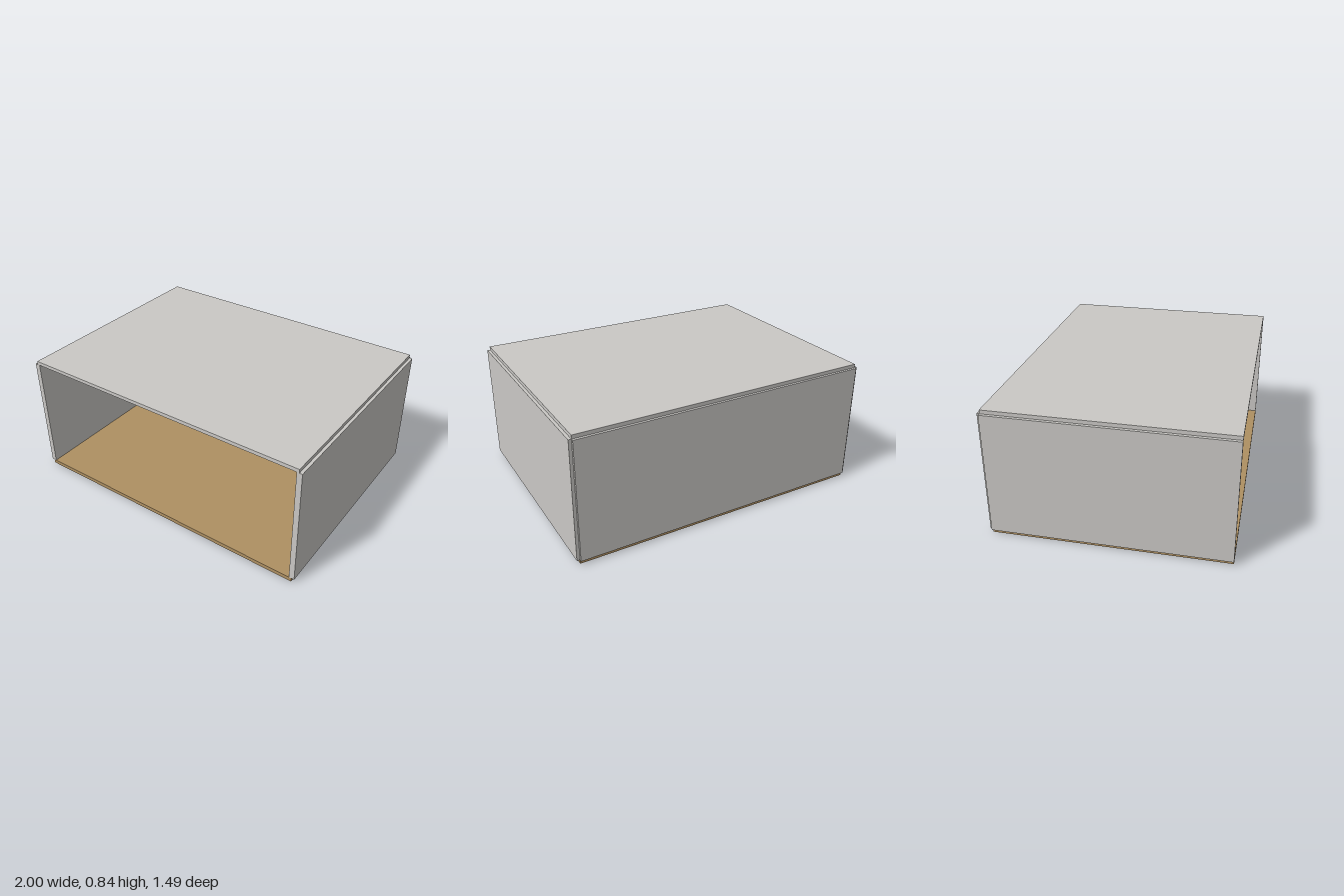
import * as THREE from 'three';

export function createModel() {
  const model = new THREE.Group();
  model.name = 'openCabinet';
  const grey = new THREE.MeshStandardMaterial({ name: 'light grey', color: 0xcac8c5 });
  const tan = new THREE.MeshStandardMaterial({ name: 'tan wood', color: 0xae9062 });

  // Box panel given by its minimum and maximum corners
  function panel(name, material, [x0, y0, z0], [x1, y1, z1]) {
    const mesh = new THREE.Mesh(new THREE.BoxGeometry(x1 - x0, y1 - y0, z1 - z0), material);
    mesh.position.set((x0 + x1) / 2, (y0 + y1) / 2, (z0 + z1) / 2);
    mesh.name = name;
    model.add(mesh);
  }

  const low = 0.027, high = 0.812; // wall bottom and top
  const front = 0.744, back = -0.728;

  // Floor and roof, inset from the outer faces of the walls
  panel('floor', tan, [-0.981, 0, back], [0.981, low, front]);
  panel('roof', grey, [-0.981, high, back], [0.981, 0.836, front]);

  // Side walls
  panel('leftWall', grey, [0.965, low, back], [1, high, front]);
  panel('rightWall', grey, [-1, low, back], [-0.965, high, front]);

  // Back wall, standing slightly proud of the sides
  panel('backWall', grey, [-0.981, low, -0.744], [0.981, high, -0.712]);

  // Thin plate on the inside of the left wall
  panel('innerPlate', grey, [0.955, 0.18, -0.25], [0.965, 0.62, 0.25]);

  return model;
}
